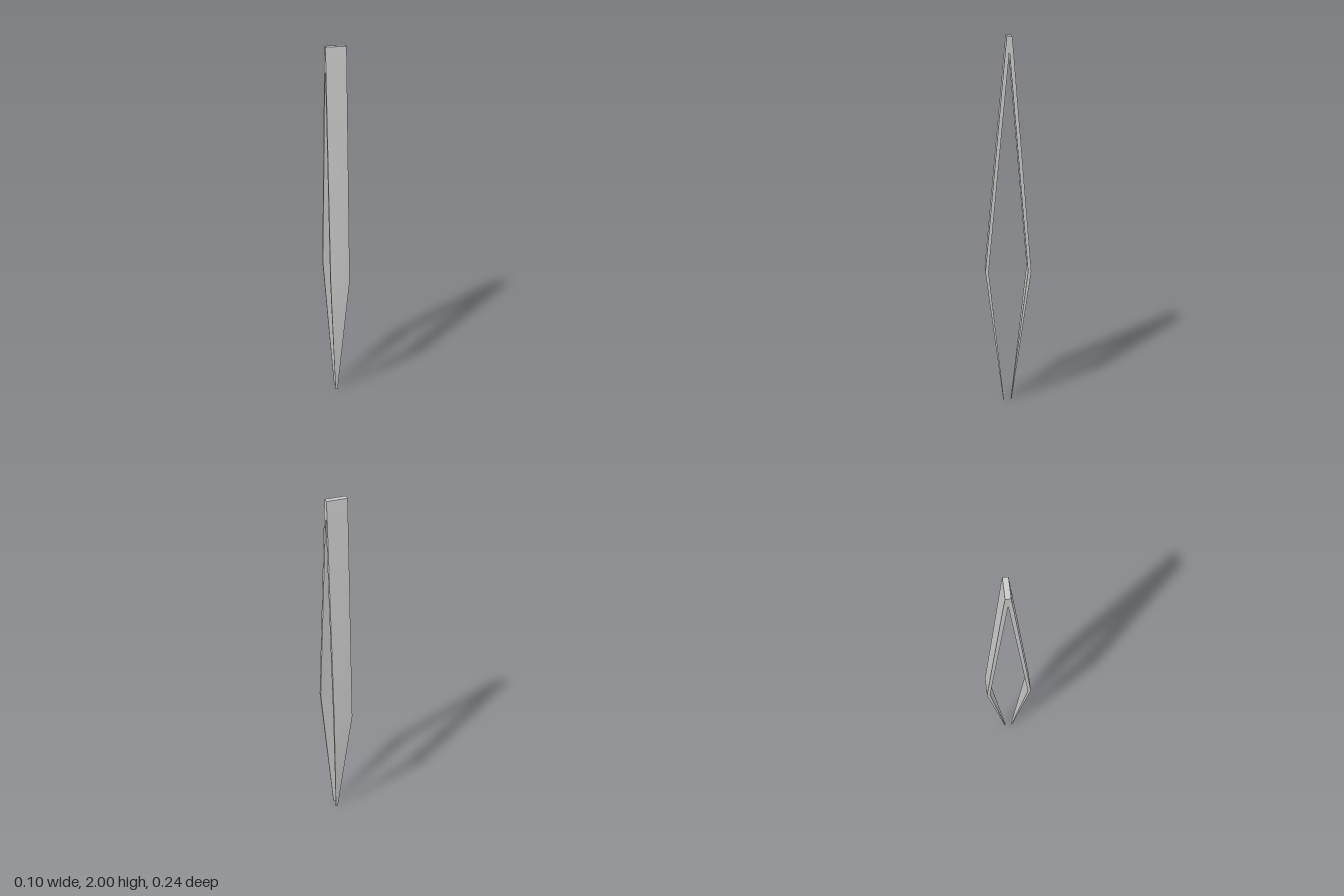
import * as THREE from 'three';

// Bar through rectangular sections [y, zFront, zBack, halfWidth], listed bottom to top.
// Each side is its own strip: sharp long edges, smooth shading along the length.
function bar(sections) {
  const pos = [], index = [];
  const rings = sections.map(([y, zf, zb, w]) => [[w, y, zf], [w, y, zb], [-w, y, zb], [-w, y, zf]]);
  for (let j = 0; j < 4; j++) {
    rings.forEach((ring, i) => {
      const n = pos.length / 3;
      pos.push(...ring[j], ...ring[(j + 1) % 4]);
      if (i < rings.length - 1) index.push(n, n + 1, n + 3, n, n + 3, n + 2);
    });
  }
  // end caps
  for (const ring of [[...rings[0]].reverse(), rings[rings.length - 1]]) {
    const n = pos.length / 3;
    pos.push(...ring.flat());
    index.push(n, n + 1, n + 2, n, n + 2, n + 3);
  }
  const geometry = new THREE.BufferGeometry();
  geometry.setAttribute('position', new THREE.Float32BufferAttribute(pos, 3));
  geometry.setIndex(index);
  geometry.computeVertexNormals();
  return geometry;
}

export function createModel() {
  const group = new THREE.Group();
  group.name = 'tweezers';
  const material = new THREE.MeshStandardMaterial({ color: 0xcccccc });

  // Arms: fine tip, bend, start of the joined end, top
  const arms = {
    frontArm: [
      [0, 0.026, 0.022, 0.006],
      [0.78, 0.122, 0.105, 0.051],
      [1.93, 0.015, -0.005, 0.051],
      [2, 0.008, -0.005, 0.051],
    ],
    backArm: [
      [0, -0.017, -0.021, 0.006],
      [0.78, -0.105, -0.122, 0.051],
      [1.93, -0.005, -0.025, 0.051],
      [2, -0.005, -0.018, 0.051],
    ],
  };
  for (const [name, sections] of Object.entries(arms)) {
    const mesh = new THREE.Mesh(bar(sections), material);
    mesh.name = name;
    group.add(mesh);
  }
  return group;
}
